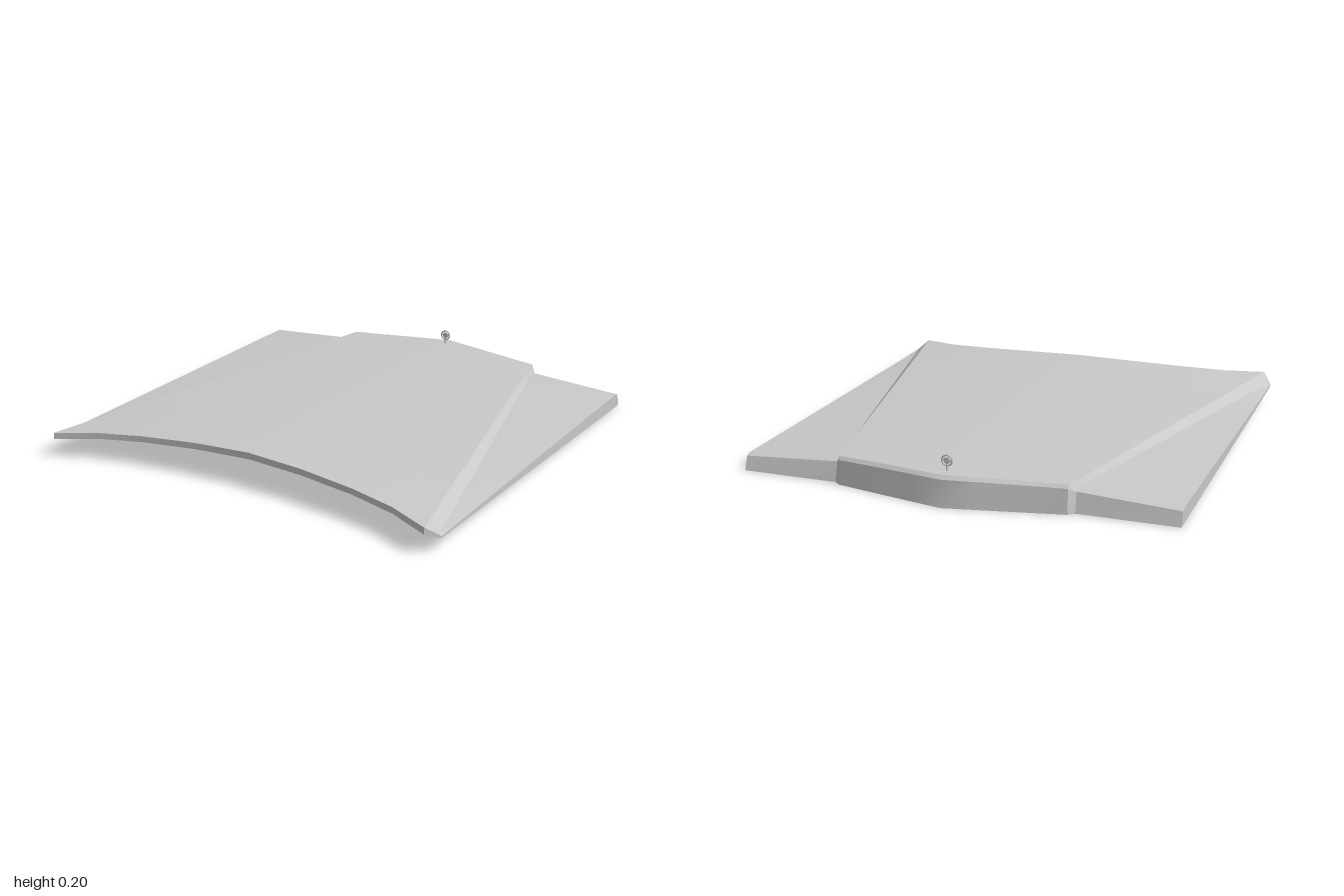
import * as THREE from 'three';
import { toCreasedNormals } from 'three/addons/utils/BufferGeometryUtils.js';

const STEPS = 8;

// Half of the panel, from outer edge to centre line. Each column runs front to rear:
// front [x, z, top y, bottom y], rear [x, top z, top y, bottom z]
const HALF = [
  { f: [0.955, 0.94, 0.069, 0.06], r: [0.955, -0.825, 0.068, -0.87] },
  { f: [0.948, 0.95, 0.078, 0.064], r: [0.525, -0.825, 0.097, -0.87] },
  { f: [0.91, 0.995, 0.115, 0.085], r: [0.5, -0.875, 0.12, -0.892] },
  { f: [0.73, 0.92, 0.126, 0.099], r: [0.4, -0.891, 0.123, -0.913] },
  { f: [0.52, 0.875, 0.139, 0.112], r: [0.285, -0.913, 0.126, -0.937] },
  { f: [0.26, 0.843, 0.152, 0.124], r: [0.143, -0.941, 0.129, -0.966] },
  { f: [0, 0.83, 0.16, 0.131], r: [0, -0.97, 0.132, -0.995] },
];

// Closed loop of points: front rim, top skin, rounded rear lip
function columnPoints({ f, r }, side) {
  const pts = [[side * f[0], f[3], f[1]]];
  for (let i = 0; i <= STEPS; i++) {
    const t = i / STEPS;
    const mix = (a, b) => a + (b - a) * t;
    pts.push([side * mix(f[0], r[0]), mix(f[2], r[2]), mix(f[1], r[1])]);
  }
  pts.push([side * r[0], r[2] * 0.88, r[1] + (r[3] - r[1]) * 0.55]);
  pts.push([side * r[0], 0, r[3]]);
  return pts;
}

function panelGeometry() {
  const cols = HALF.map((c) => columnPoints(c, 1));
  HALF.slice(0, -1).reverse().forEach((c) => cols.push(columnPoints(c, -1)));
  const n = cols[0].length;
  const pos = [];
  const tri = (a, b, c) => pos.push(...a, ...b, ...c);
  // Top skin, rim, lip and underside
  for (let c = 0; c < cols.length - 1; c++) {
    for (let i = 0; i < n; i++) {
      const j = (i + 1) % n;
      tri(cols[c][i], cols[c][j], cols[c + 1][i]);
      tri(cols[c][j], cols[c + 1][j], cols[c + 1][i]);
    }
  }
  // Flat outer sides
  const first = cols[0], last = cols[cols.length - 1];
  for (let i = 0; i < n - 2; i++) {
    tri(first[n - 1], first[i + 1], first[i]);
    tri(last[n - 1], last[i], last[i + 1]);
  }
  const geo = new THREE.BufferGeometry();
  geo.setAttribute('position', new THREE.Float32BufferAttribute(pos, 3));
  return toCreasedNormals(geo, 0.45);
}

export function createModel() {
  const model = new THREE.Group();
  model.name = 'hood';
  const paint = new THREE.MeshStandardMaterial({ color: 0xc8c8c8 });
  paint.name = 'light grey';

  const add = (parent, name, geo, x, y, z) => {
    const mesh = new THREE.Mesh(geo, paint);
    mesh.name = name;
    mesh.position.set(x, y, z);
    parent.add(mesh);
    return mesh;
  };

  add(model, 'hoodPanel', panelGeometry(), 0, 0, 0);

  // Small upright ring ornament on the nose
  const ornament = new THREE.Group();
  ornament.name = 'noseOrnament';
  ornament.position.set(0, 0.175, -0.915);
  model.add(ornament);
  add(ornament, 'ornamentRing', new THREE.TorusGeometry(0.022, 0.004, 8, 24), 0, 0, 0);
  const disc = add(ornament, 'ornamentDisc', new THREE.CylinderGeometry(0.014, 0.014, 0.008, 16), 0, 0, 0);
  disc.rotation.x = Math.PI / 2;
  add(ornament, 'ornamentStem', new THREE.CylinderGeometry(0.004, 0.006, 0.035, 8), 0, -0.03, 0);
  for (const s of [-1, 1]) {
    const spoke = add(ornament, 'ornamentSpoke', new THREE.BoxGeometry(0.012, 0.004, 0.005), s * 0.017, 0, 0);
    spoke.rotation.z = 0;
  }
  return model;
}
